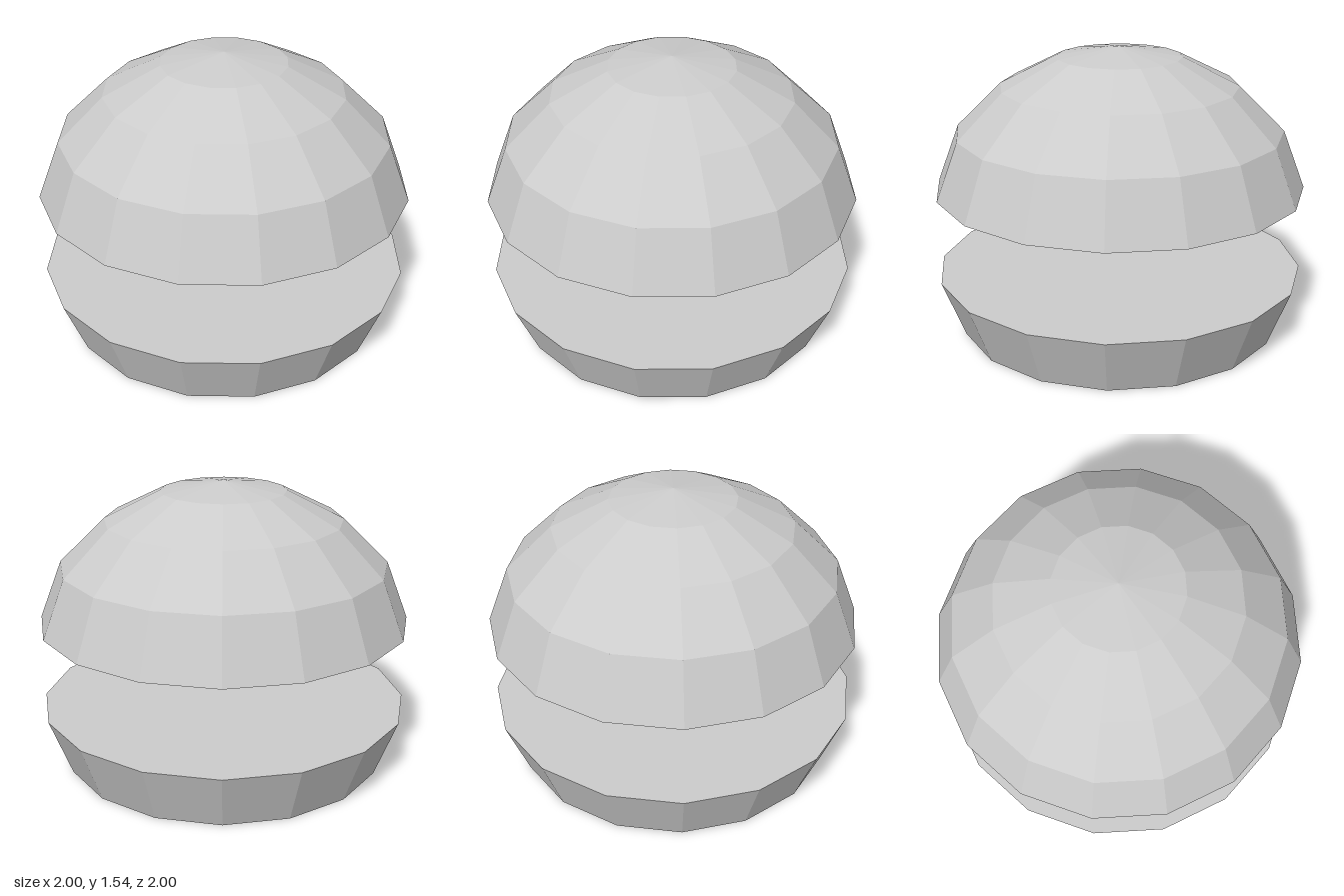
import * as THREE from 'three';

const SIDES = 16;

// Closed, faceted solid turned from [radius, height] pairs, listed bottom to top
function turned(name, profile) {
  const points = profile.map(([r, y]) => new THREE.Vector2(r, y));
  const material = new THREE.MeshStandardMaterial({ color: 0xcccccc, flatShading: true });
  const mesh = new THREE.Mesh(new THREE.LatheGeometry(points, SIDES), material);
  mesh.name = name;
  return mesh;
}

export function createModel() {
  const group = new THREE.Group();
  group.name = 'bun';

  // Bottom half: shallow slab flaring up to a flat cut face
  group.add(turned('bottomBun', [[0, 0.005], [0.88, 0.005], [1, 0.315], [0, 0.315]].map(
    ([r, y]) => [r, y < 0.01 ? 0 : y])));

  // Top half: faceted dome with a flat underside
  group.add(turned('topBun', [
    [0, 0.78], [1, 0.78], [0.88, 1.093], [0.637, 1.332], [0.334, 1.485], [0, 1.538],
  ]));

  return group;
}
